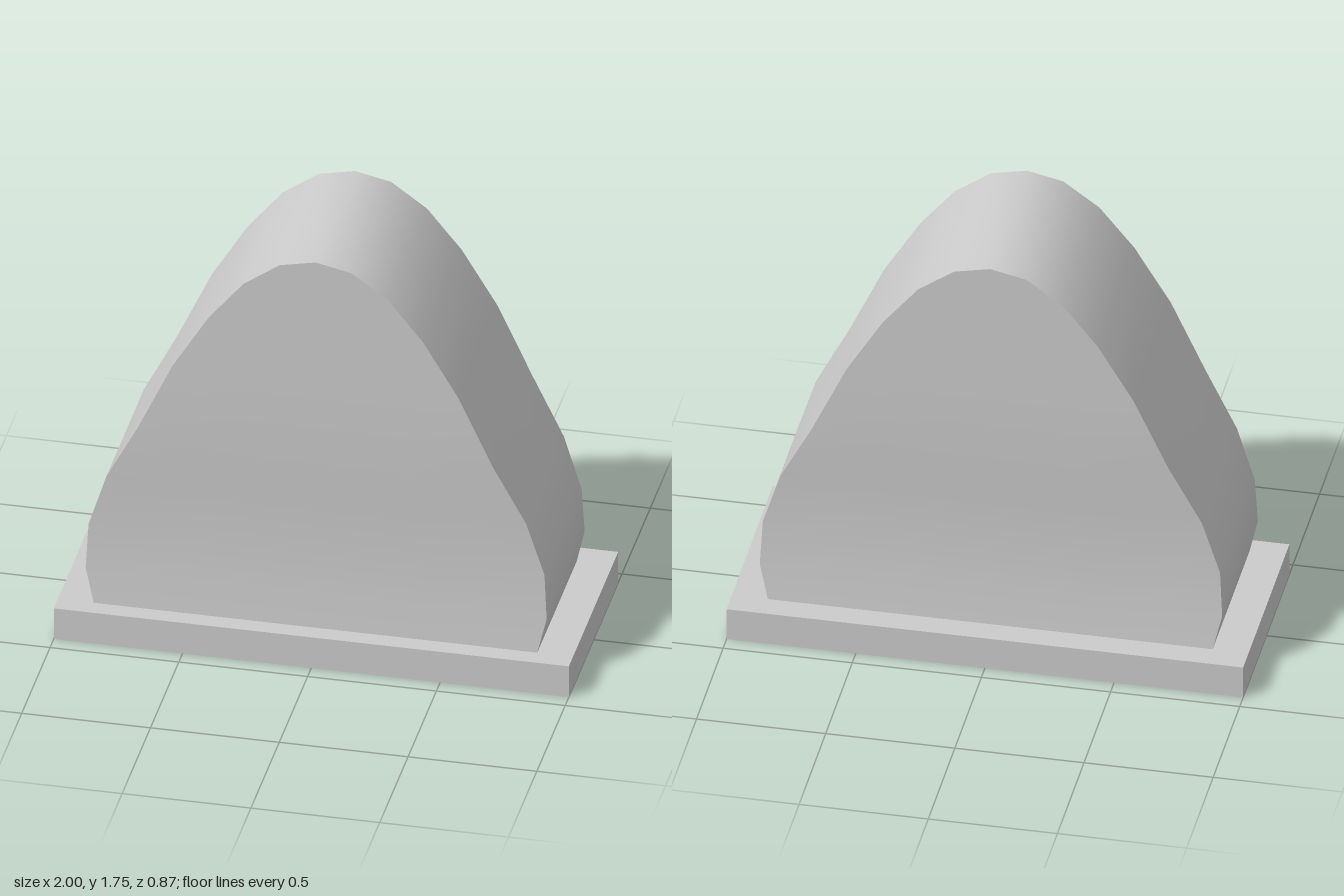
import * as THREE from 'three';

// Smooth surface through rows of points; faces along (row direction x column direction)
function loft(name, rows, material) {
  const n = rows[0].length;
  const index = [];
  for (let i = 0; i < rows.length - 1; i++) {
    for (let j = 0; j < n - 1; j++) {
      const a = i * n + j, b = a + 1, c = a + n, d = c + 1;
      index.push(a, c, b, b, c, d);
    }
  }
  const geometry = new THREE.BufferGeometry();
  geometry.setAttribute('position', new THREE.Float32BufferAttribute(rows.flat(2), 3));
  geometry.setIndex(index);
  geometry.computeVertexNormals();
  const mesh = new THREE.Mesh(geometry, material);
  mesh.name = name;
  return mesh;
}

export function createModel() {
  const group = new THREE.Group();
  const material = new THREE.MeshStandardMaterial({ color: 0xcccccc });

  // Plinth
  const baseHeight = 0.135;
  const base = new THREE.Mesh(new THREE.BoxGeometry(2, baseHeight, 0.87), material);
  base.name = 'base';
  base.position.y = baseHeight / 2;
  group.add(base);

  // Half outline from crown to foot: half width, height, front z, back z
  const profile = [
    [0, 1.745, 0.36, -0.335],
    [0.14, 1.715, 0.36, -0.335],
    [0.28, 1.615, 0.36, -0.335],
    [0.415, 1.45, 0.361, -0.335],
    [0.555, 1.22, 0.363, -0.335],
    [0.69, 0.93, 0.363, -0.333],
    [0.815, 0.69, 0.349, -0.316],
    [0.885, 0.47, 0.343, -0.311],
    [0.895, 0.28, 0.35, -0.32],
    [0.86, 0.13, 0.362, -0.335],
  ];

  // Gently waisted front and back faces
  const columns = [-1, -0.5, 0, 0.5, 1];
  const front = profile.map(([x, y, zf]) => columns.map((t) => [t * x, y, zf]));
  const back = profile.map(([x, y, , zb]) => columns.map((t) => [-t * x, y, zb]));

  // Rim running from one foot over the crown to the other
  const rimRow = (side) => ([x, y, zf, zb]) => [[side * x, y, zf], [side * x, y, zb]];
  const rim = [
    ...profile.slice(1).reverse().map(rimRow(-1)),
    ...profile.map(rimRow(1)),
  ];

  const stone = new THREE.Group();
  stone.name = 'stone';
  stone.add(
    loft('frontFace', front, material),
    loft('backFace', back, material),
    loft('rim', rim, material),
  );
  group.add(stone);
  return group;
}
